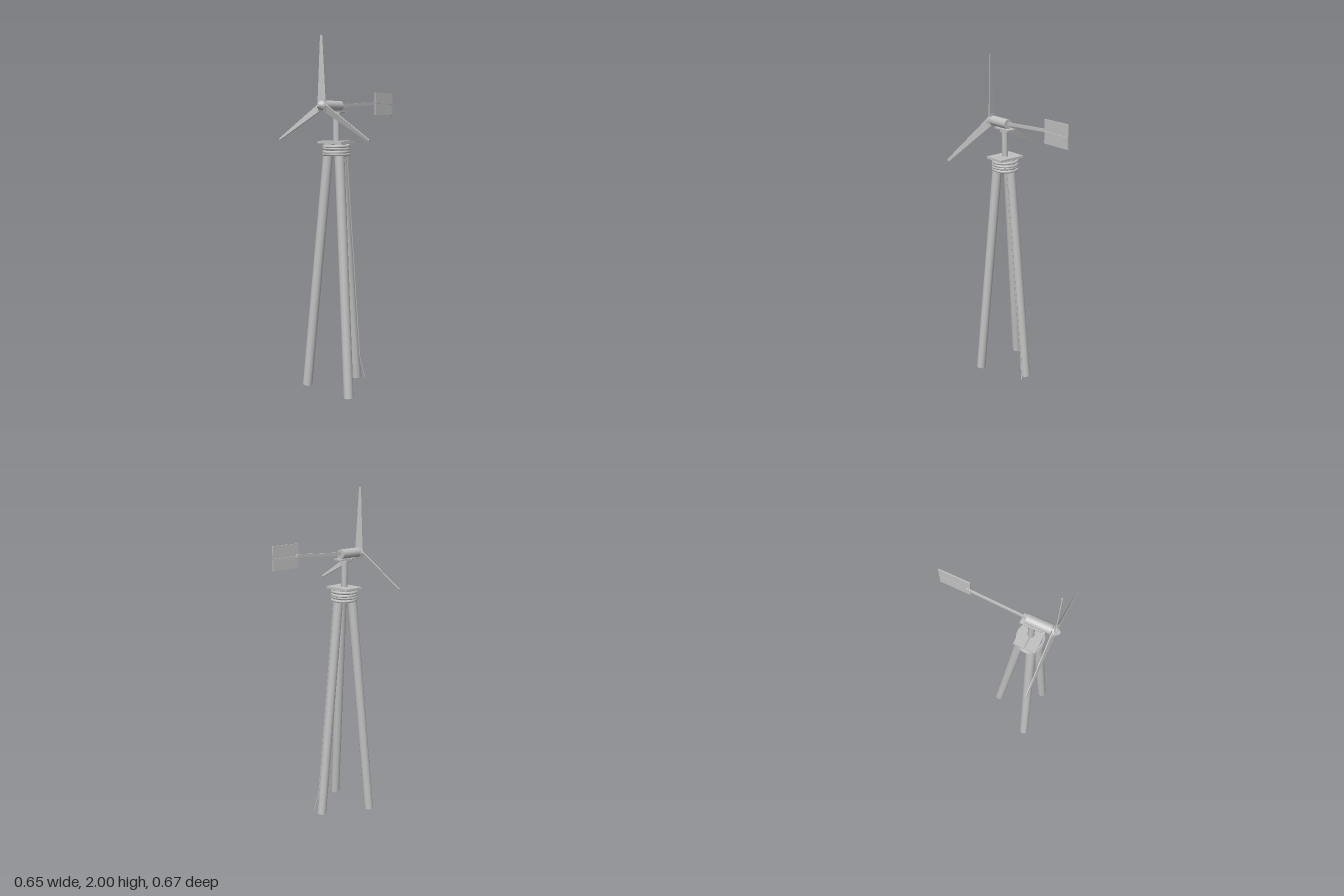
import * as THREE from 'three';

const V = (x, y, z) => new THREE.Vector3(x, y, z);

export function createModel() {
  const model = new THREE.Group();
  model.name = 'windTurbine';
  const grey = new THREE.MeshStandardMaterial({ color: 0xc0c0c0 });
  grey.name = 'plain grey';
  const CZ = 0.185; // tower axis

  function add(name, geometry, parent = model) {
    const mesh = new THREE.Mesh(geometry, grey);
    mesh.name = name;
    parent.add(mesh);
    return mesh;
  }
  function box(name, w, h, d, x, y, z) {
    const m = add(name, new THREE.BoxGeometry(w, h, d));
    m.position.set(x, y, z);
    return m;
  }
  // Cylinder running from point a to point b
  function rod(name, a, b, rA, rB, sides) {
    const dir = b.clone().sub(a);
    const m = add(name, new THREE.CylinderGeometry(rB, rA, dir.length(), sides));
    m.position.copy(a).add(b).multiplyScalar(0.5);
    m.quaternion.setFromUnitVectors(V(0, 1, 0), dir.normalize());
    return m;
  }

  // Three leaning pole legs, one at the back
  for (let i = 0; i < 3; i++) {
    const a = Math.PI + (i * Math.PI * 2) / 3;
    const at = (r, y) => V(Math.sin(a) * r, y, CZ + Math.cos(a) * r);
    rod('leg', at(0.18, 0.003), at(0.042, 1.424), 0.028, 0.028, 14);
  }

  // Rope coils binding the leg tops
  for (let i = 0; i < 4; i++) {
    const coil = add('ropeCoil', new THREE.TorusGeometry(0.071, 0.0085, 8, 32));
    coil.rotation.set(Math.PI / 2 + (i % 2 ? 0.03 : -0.03), 0, 0);
    coil.position.set(0, 1.363 + i * 0.0155, CZ);
  }

  // Platform of two planks
  for (const s of [-1, 1]) box('platformPlank', 0.168, 0.014, 0.062, 0, 1.431, CZ + s * 0.032);

  // Mast, collar and bearing plate
  rod('mast', V(0, 1.43, CZ), V(0, 1.596, CZ), 0.018, 0.018, 16);
  rod('mastCollar', V(0, 1.583, CZ), V(0, 1.596, CZ), 0.028, 0.028, 16);
  box('bearingPlate', 0.056, 0.008, 0.118, 0, 1.6, CZ + 0.001);

  // Generator body and rotor hub
  const HY = 1.63;
  rod('generator', V(0, HY, 0.153), V(0, HY, 0.292), 0.028, 0.028, 20);
  rod('rotorShaft', V(0, HY, 0.29), V(0, HY, 0.3), 0.012, 0.012, 12);
  rod('hub', V(0, HY, 0.297), V(0, HY, 0.315), 0.027, 0.027, 16);
  rod('hubNose', V(0, HY, 0.315), V(0, HY, 0.336), 0.027, 0.009, 16);

  // Tapered, pitched blades
  const rotor = new THREE.Group();
  rotor.name = 'rotor';
  rotor.position.set(0, HY, 0.306);
  model.add(rotor);
  for (let i = 0; i < 3; i++) {
    const arm = new THREE.Group();
    arm.name = 'bladeArm';
    arm.rotation.z = (i * Math.PI * 2) / 3;
    rotor.add(arm);
    const g = new THREE.BoxGeometry(1, 0.352, 0.005, 1, 8, 1);
    const p = g.attributes.position;
    for (let k = 0; k < p.count; k++) {
      const t = p.getY(k) / 0.352 + 0.5;
      p.setX(k, p.getX(k) * THREE.MathUtils.lerp(0.048, 0.013, t));
      p.setY(k, 0.018 + t * 0.352);
    }
    g.computeVertexNormals();
    add('blade', g, arm).rotation.y = 0.3;
    const clamp = add('bladeClamp', new THREE.BoxGeometry(0.036, 0.016, 0.012), arm);
    clamp.position.y = 0.026;
    clamp.rotation.y = 0.3;
  }

  // Tail boom and two-plank vane
  const boom = box('tailBoom', 0.009, 0.017, 0.337, 0, 1.642, -0.013);
  boom.rotation.x = 0.06;
  for (const s of [-1, 1]) box('tailVane', 0.007, 0.065, 0.176, 0.0105, 1.65 + s * 0.0335, -0.251);

  // Cable running down beside the back leg and out at the foot
  const path = new THREE.CurvePath();
  const pts = [V(0.035, 1.4, 0.138), V(0.034, 0.13, 0.012), V(0.052, 0.003, -0.015)];
  for (let i = 0; i < 2; i++) path.add(new THREE.LineCurve3(pts[i], pts[i + 1]));
  add('cable', new THREE.TubeGeometry(path, 60, 0.0035, 6, false));

  return model;
}
